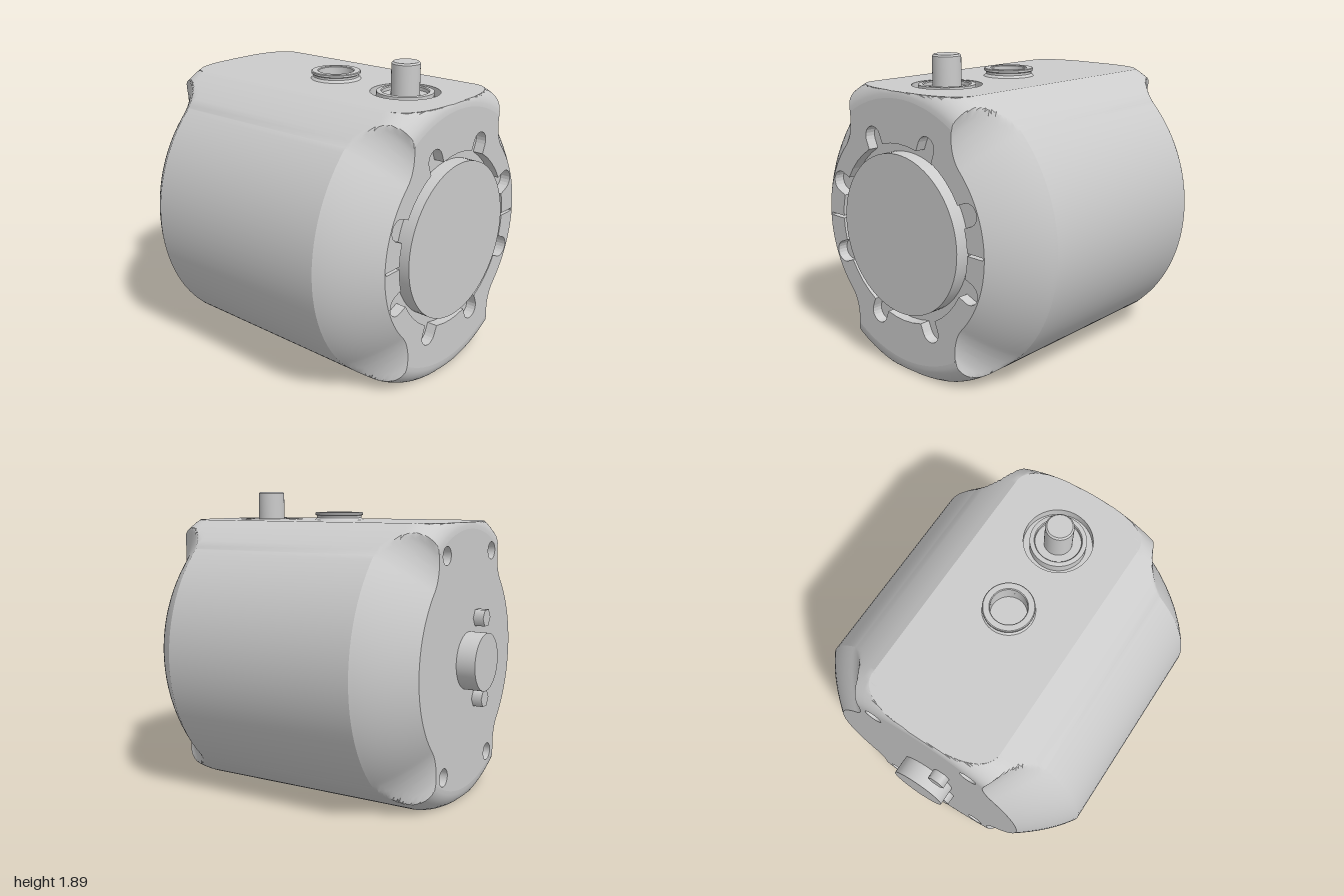
import * as THREE from 'three';
import { toCreasedNormals } from 'three/addons/utils/BufferGeometryUtils.js';

const RAD = Math.PI / 180;
const R = 0.945, TOP = 0.84, BOTTOM = -0.87;      // barrel radius and flats, about its axis
const X0 = -0.88, X1 = 0.975, END = 0.288;        // barrel ends and length of the side scoops
const mat = new THREE.MeshStandardMaterial({ color: 0xcccccc });

// Barrel radius with rounded ends; u is the distance from the nearer end
function outerRadius(u) {
  const k = Math.max(0, 1 - u / 0.18);
  return 0.8 + (R - 0.8) * Math.sqrt(1 - k * k);
}

// Barrel radius with the chamfered scoop on both sides and the flats at top and bottom
function bodyRadius(x, a) {
  const u = Math.min(x - X0, X1 - x), t = Math.min(1, u / END);
  const s = Math.sin(a), fold = Math.asin(Math.min(1, Math.abs(s)));
  let r = outerRadius(u);
  const arc = Math.max(0, fold - 43 * RAD) * 0.8, fillet = 0.216;
  if (arc <= fillet) {
    const scoop = 0.67 + 0.275 * t + 0.1 * t * (1 - t);
    r = Math.min(r, scoop + fillet - Math.sqrt(fillet * fillet - arc * arc));
  }
  return Math.min(r, s > 0 ? TOP / s : s < 0 ? BOTTOM / s : Infinity);
}

// Stations along the barrel, denser at the ends
const xs = [];
for (let i = 0; i <= 24; i++) {
  const u = END * Math.pow(i / 24, 1.5);
  xs.push(X0 + u, X1 - u);
}
xs.sort((a, b) => a - b);

// Angles around the barrel, denser at the scoop walls
const folds = [];
for (let d = 0; d <= 90; d += 3.75) folds.push(d);
for (let d = 43; d < 58.6; d += 1.55) folds.push(d);
folds.push(57.8, 58.2, 58.4, 58.498, 58.6, Math.asin(TOP / R) / RAD, Math.asin(-BOTTOM / R) / RAD);
const angles = [...new Set(folds.flatMap(d => [d, 180 - d, 180 + d, 360 - d]).map(d => (d % 360) * RAD))]
  .sort((a, b) => a - b);

function barrelGeometry() {
  const pos = [], index = [], n = angles.length;
  for (const x of xs) for (const a of angles) {
    const r = bodyRadius(x, a);
    pos.push(x, r * Math.sin(a), r * Math.cos(a));
  }
  const onFlat = (ids, y) => ids.every(i => Math.abs(pos[i * 3 + 1] - y) < 1e-6);
  for (let i = 0; i < xs.length - 1; i++) for (let j = 0; j < n; j++) {
    const k = (j + 1) % n;
    const q = [i * n + j, (i + 1) * n + j, (i + 1) * n + k, i * n + k];
    if (onFlat(q, TOP) || onFlat(q, BOTTOM)) continue;   // filled by the plates
    index.push(q[0], q[1], q[2], q[0], q[2], q[3]);
  }
  const g = new THREE.BufferGeometry();
  g.setAttribute('position', new THREE.Float32BufferAttribute(pos, 3));
  g.setIndex(index);
  return toCreasedNormals(g, 0.5);
}

const circle = (x, y, r) => new THREE.Path().absarc(x, y, r, 0, Math.PI * 2, true);
const extrude = (shape, depth) =>
  new THREE.ExtrudeGeometry(shape, { depth, bevelEnabled: false, curveSegments: 32 });

// Flat plate following the barrel's flat at height h
function plateGeometry(h, depth, holes) {
  const side = xs.map(x => [x, outerRadius(Math.min(x - X0, X1 - x))])
    .filter(([, r]) => r > Math.abs(h))
    .map(([x, r]) => new THREE.Vector2(x, Math.sqrt(r * r - h * h)));
  const shape = new THREE.Shape([
    ...side.map(p => new THREE.Vector2(p.x, -p.y)), ...side.slice().reverse()]);
  shape.holes.push(...holes);
  return extrude(shape, depth).rotateX(-Math.PI / 2).translate(0, h > 0 ? h - depth : h, 0);
}

// End wall following the barrel's outline at x
function endGeometry(x, depth, holes) {
  const shape = new THREE.Shape(angles.map(a => {
    const r = bodyRadius(x, a);
    return new THREE.Vector2(r * Math.cos(a), r * Math.sin(a));
  }));
  shape.holes.push(...holes);
  return extrude(shape, depth).rotateY(Math.PI / 2).translate(x > 0 ? x - depth : x, 0, 0);
}

// Round recess with eight keyhole slots and two thin slits
function slottedRecess() {
  const pts = [], rim = 0.54, w = 0.065, half = Math.asin(w / rim);
  const polar = (r, a) => pts.push(new THREE.Vector2(r * Math.cos(a), r * Math.sin(a)));
  for (let k = 0; k < 8; k++) {
    const a = (22.5 + 45 * k) * RAD;
    polar(rim, a - half);
    for (let i = 0; i <= 10; i++) {
      const b = a + (i / 10 - 0.5) * Math.PI;
      pts.push(new THREE.Vector2(0.595 * Math.cos(a) + w * Math.cos(b), 0.595 * Math.sin(a) + w * Math.sin(b)));
    }
    polar(rim, a + half);
    const mid = a + 22.5 * RAD, gap = 22.5 * RAD - half;
    polar(rim, mid - gap * 0.5);
    if (k % 4 === 3) {
      polar(rim, mid - 0.015); polar(0.66, mid - 0.012);
      polar(0.66, mid + 0.012); polar(rim, mid + 0.015);
    } else polar(rim, mid);
    polar(rim, mid + gap * 0.5);
  }
  return new THREE.Path(pts);
}

export function createModel() {
  const model = new THREE.Group();
  const add = (name, geo, x = 0, y = 0, z = 0, parent = model) => {
    const m = new THREE.Mesh(geo, mat);
    m.name = name;
    m.position.set(x, y + (parent === model ? -BOTTOM : 0), z);
    parent.add(m);
    return m;
  };
  const cyl = (r, h, n = 64) => new THREE.CylinderGeometry(r, r, h, n);
  const cylX = (r, h, n = 64) => cyl(r, h, n).rotateZ(Math.PI / 2);
  const lathe = pts => toCreasedNormals(
    new THREE.LatheGeometry(pts.map(p => new THREE.Vector2(...p)), 48), 0.5);

  add('barrel', barrelGeometry());

  // Top flat with openings for the plug and the connector
  add('topPlate', plateGeometry(TOP, 0.06, [circle(0.045, 0, 0.11), circle(0.585, 0, 0.21)]));
  add('plugFloor', cyl(0.13, 0.02), 0.045, TOP - 0.065, 0);
  add('connectorFloor', cyl(0.23, 0.02), 0.585, TOP - 0.065, 0);
  add('plugRing', lathe([[0.158, 0], [0.144, 0.015], [0.144, 0.028], [0.155, 0.034], [0.155, 0.046],
    [0.15, 0.05], [0.115, 0.05], [0.11, 0.045], [0.11, -0.06]]), 0.045, TOP, 0);
  add('connectorCollar', lathe([[0.172, -0.06], [0.172, 0.004], [0.165, 0.006], [0.145, 0.006],
    [0.14, 0], [0.14, -0.02], [0.084, -0.02]]), 0.585, TOP, 0);
  add('connectorPin', lathe([[0.086, -0.06], [0.086, 0.17], [0.076, 0.18], [0, 0.18]]), 0.585, TOP, 0);

  // Bottom flat with a round recess
  add('bottomPlate', plateGeometry(BOTTOM, 0.07, [circle(0.045, 0, 0.362)]));
  add('bottomRecessFloor', cyl(0.38, 0.02), 0.045, BOTTOM + 0.075, 0);

  // Left end: slotted recess around a raised disc
  add('slottedEnd', endGeometry(X1, 0.07, [slottedRecess()]));
  add('slotFloor', cylX(0.7, 0.02), X1 - 0.075, 0, 0);
  add('endDisc', cylX(0.485, 0.1, 96), 0.95, 0, 0);

  // Right end: four corner holes, shaft and two hex bolts
  const corners = [-1, 1].flatMap(sz => [-1, 1].map(sy => [sz * 0.33, sy * 0.655]));
  add('shaftEnd', endGeometry(X0, 0.1, corners.map(([z, y]) => circle(z, y, 0.055))));
  for (const [z, y] of corners) add('cornerHoleFloor', cylX(0.06, 0.02, 24), X0 + 0.105, y, z);
  add('shaft', cylX(0.178, 0.16), -0.92, 0, 0);
  for (const s of [-1, 1]) add('hexBolt', cylX(0.058, 0.1, 6), -0.895, s * 0.253, 0.12);

  return model;
}
